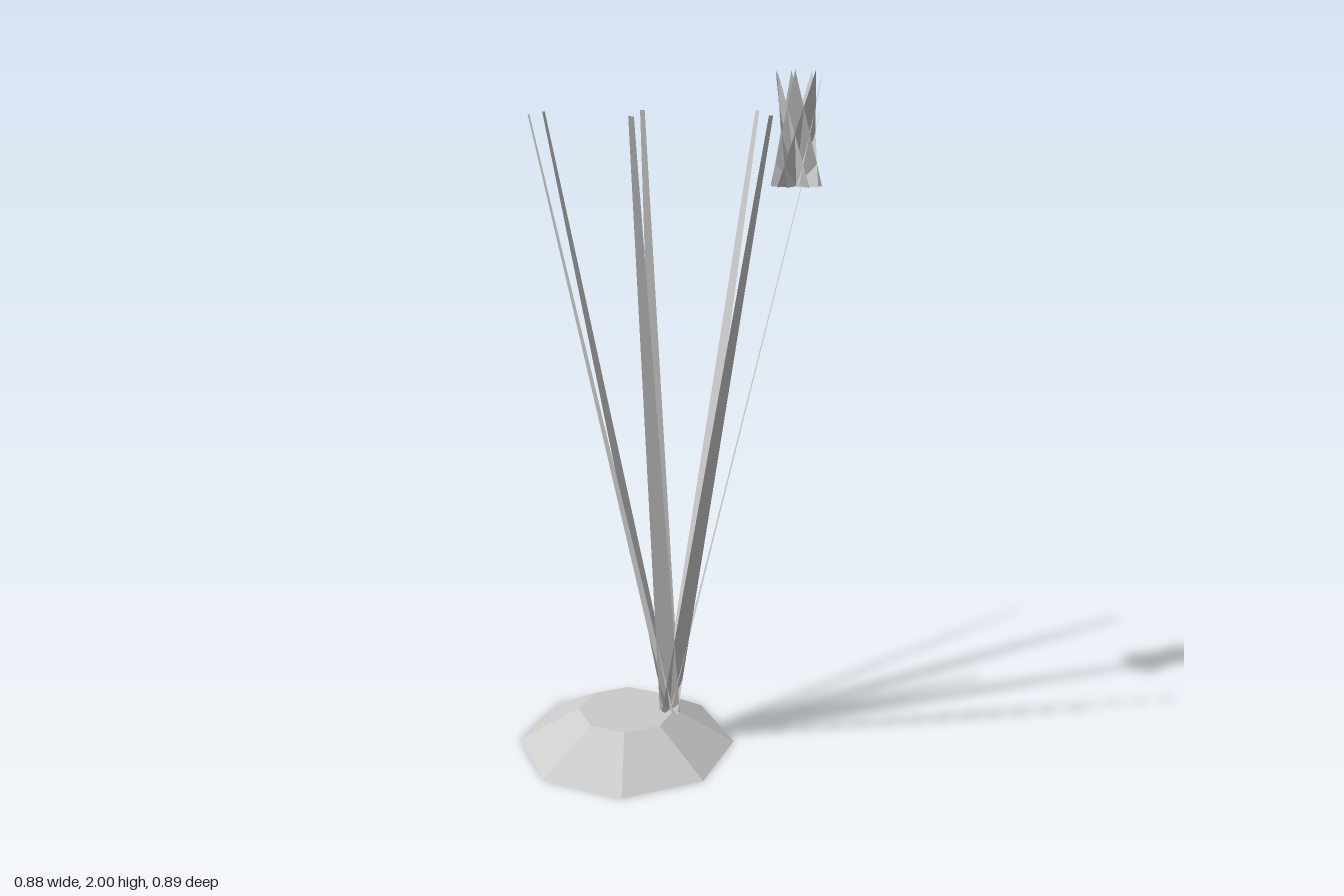
import * as THREE from 'three';

const grey = new THREE.MeshStandardMaterial({ color: 0xcccccc, flatShading: true });
const leafGrey = new THREE.MeshStandardMaterial({ color: 0xcccccc, flatShading: true, side: THREE.DoubleSide });

// Flat blade: rises from the origin and leans towards +x, tapering along z.
function blade(reach, height, baseHalf, tipHalf) {
  const g = new THREE.BufferGeometry();
  g.setAttribute('position', new THREE.Float32BufferAttribute([
    0, 0, baseHalf, 0, 0, -baseHalf, reach, height, -tipHalf, reach, height, tipHalf,
  ], 3));
  g.setIndex(tipHalf > 0 ? [0, 1, 2, 0, 2, 3] : [0, 1, 2]);
  g.computeVertexNormals();
  return g;
}

// Seven blades fanned round the vertical axis, slightly narrowed along x.
function fan(name, partName, geometry, x, y) {
  const group = new THREE.Group();
  group.name = name;
  for (let i = 0; i < 7; i++) {
    const mesh = new THREE.Mesh(geometry, leafGrey);
    mesh.name = partName + (i + 1);
    mesh.rotation.y = (i / 7) * Math.PI * 2;
    group.add(mesh);
  }
  group.position.set(x, y, 0);
  group.scale.x = 0.903;
  return group;
}

export function createModel() {
  const model = new THREE.Group();
  model.name = 'plant';

  // Low eight-sided mound
  const mound = new THREE.Mesh(new THREE.CylinderGeometry(0.163, 0.363, 0.105, 8), grey);
  mound.name = 'mound';
  mound.position.set(-0.117, 0.0525, 0);
  mound.scale.x = 0.903;
  model.add(mound);

  // Long stems and the flower carried by the one on the left
  model.add(fan('stems', 'stem', blade(0.456, 1.785, 0.035, 0.008), 0.015, 0.1));
  model.add(fan('flower', 'petal', blade(0.075, 0.315, 0.08, 0), 0.366, 1.685));
  return model;
}
